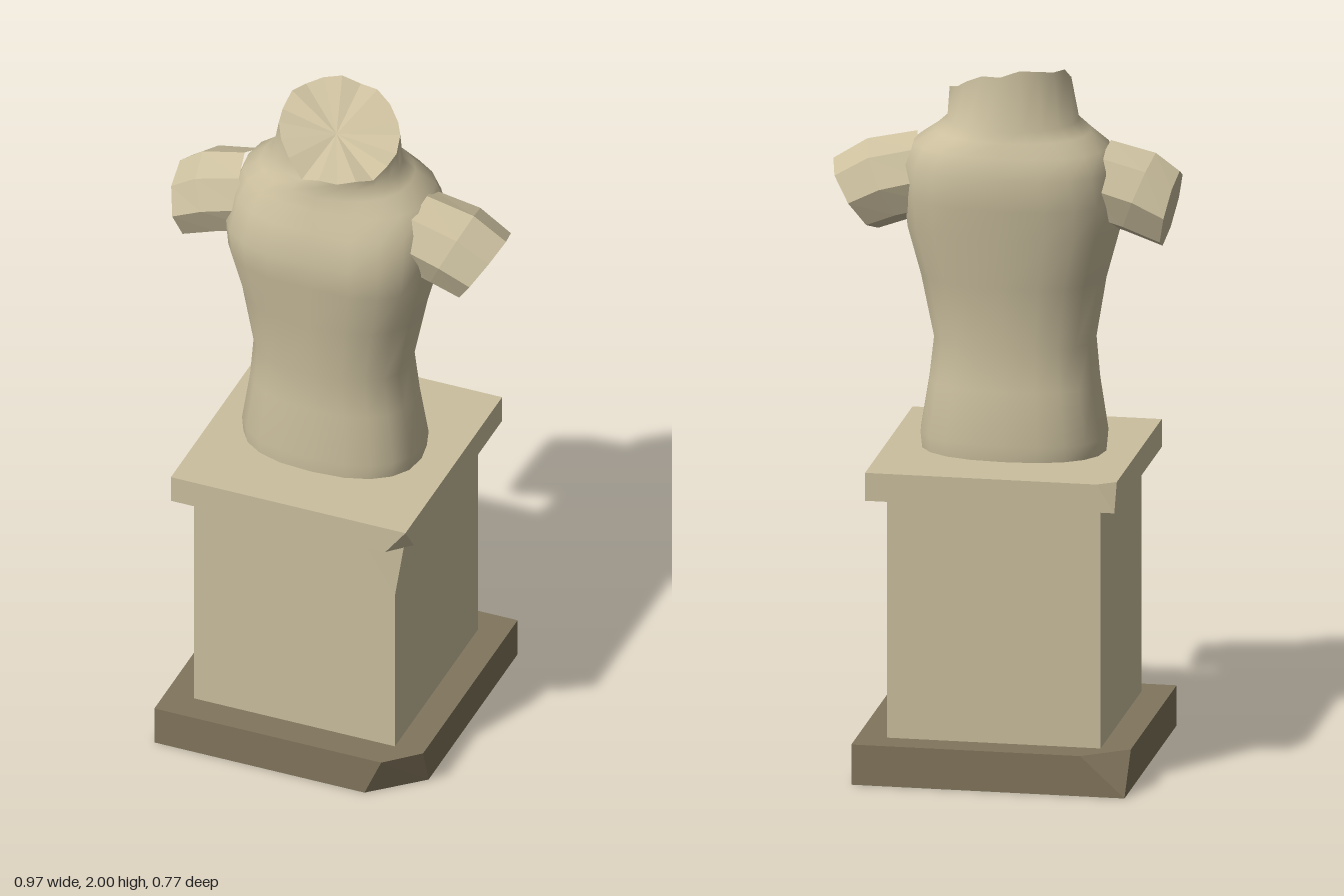
import * as THREE from 'three';
import { toCreasedNormals } from 'three/addons/utils/BufferGeometryUtils.js';
import { ConvexGeometry } from 'three/addons/geometries/ConvexGeometry.js';

const V = (x, y, z) => new THREE.Vector3(x, y, z);

// Skin a list of equal-length rings; optionally close the last one to a centre point
function loft(rings, endCentre) {
  const n = rings[0].length, pts = rings.flat(), index = [];
  for (let r = 0; r < rings.length - 1; r++)
    for (let i = 0; i < n; i++) {
      const a = r * n + i, b = r * n + (i + 1) % n;
      index.push(a, a + n, b, b, a + n, b + n);
    }
  if (endCentre) {
    const base = (rings.length - 1) * n;
    pts.push(endCentre);
    for (let i = 0; i < n; i++) index.push(pts.length - 1, base + (i + 1) % n, base + i);
  }
  const geo = new THREE.BufferGeometry().setFromPoints(pts);
  geo.setIndex(index);
  geo.computeVertexNormals();
  return geo;
}

function flat(geo) {
  const g = geo.toNonIndexed();
  g.computeVertexNormals();
  return g;
}

// Block given by its bounds, with chosen corners replaced by chip points
function chippedBlock(x0, x1, y0, y1, z0, z1, chips) {
  const pts = [];
  for (const x of [x0, x1]) for (const y of [y0, y1]) for (const z of [z0, z1]) {
    const key = (x === x1 ? 'R' : 'L') + (y === y1 ? 'T' : 'B') + (z === z1 ? 'F' : 'K');
    if (!chips[key]) pts.push(V(x, y, z));
    else {
      const [cx, cz, drop] = chips[key];
      pts.push(V(x - Math.sign(x) * cx, y, z), V(x, y, z - Math.sign(z) * cz));
      if (drop) pts.push(V(x, y - drop, z));
    }
  }
  return new ConvexGeometry(pts);
}

// Remove faces lying on the ground so the foot is hollow underneath
function openBottom(geo) {
  const p = geo.attributes.position, keep = [];
  for (let i = 0; i < p.count; i += 3) {
    if (Math.max(p.getY(i), p.getY(i + 1), p.getY(i + 2)) < 1e-4) continue;
    for (let k = 0; k < 3; k++) keep.push(V().fromBufferAttribute(p, i + k));
  }
  const g = new THREE.BufferGeometry().setFromPoints(keep);
  g.computeVertexNormals();
  return g;
}

export function createModel() {
  const group = new THREE.Group();
  const stone = new THREE.MeshStandardMaterial({ color: 0xcbbf9e });
  stone.name = 'pale stone';
  const dark = new THREE.MeshStandardMaterial({ color: 0x81755c, side: THREE.DoubleSide });
  dark.name = 'dark stone';
  const add = (name, geo, mat) => {
    const m = new THREE.Mesh(geo, mat);
    m.name = name;
    group.add(m);
  };

  // Pedestal
  add('pedestalFoot', openBottom(chippedBlock(-0.405, 0.362, 0, 0.115, -0.385, 0.385, {
    RTF: [0.09, 0.085], RBF: [0.14, 0.125], LTK: [0.125, 0.095],
  })), dark);
  add('pedestalShaft', chippedBlock(-0.322, 0.278, 0.116, 0.805, -0.3, 0.3, {
    RTF: [0.108, 0.095, 0.178],
  }), stone);
  add('pedestalCap', chippedBlock(-0.37, 0.33, 0.805, 0.885, -0.35, 0.35, {
    RBF: [0.06, 0.06], LTK: [0.05, 0.037],
  }), stone);

  // Torso sections: y, right x, left x, back z, front z, squareness, chest dent
  const SEG = 20;
  const sections = [
    [0.88, -0.28, 0.235, -0.17, 0.178, 0.85, 0],
    [0.93, -0.285, 0.24, -0.175, 0.18, 0.85, 0],
    [1.08, -0.262, 0.216, -0.155, 0.163, 0.85, 0],
    [1.2, -0.25, 0.203, -0.145, 0.163, 0.85, 0],
    [1.38, -0.28, 0.238, -0.172, 0.188, 0.82, 0.02],
    [1.52, -0.318, 0.275, -0.193, 0.208, 0.78, 0.04],
    [1.61, -0.325, 0.283, -0.205, 0.22, 0.78, 0.05],
    [1.7, -0.312, 0.278, -0.217, 0.192, 0.8, 0.03],
    [1.76, -0.29, 0.255, -0.2, 0.167, 0.85, 0],
    [1.8, -0.24, 0.197, -0.184, 0.156, 0.92, 0],
    [1.83, -0.205, 0.163, -0.173, 0.153, 1, 0],
  ];
  const pow = (v, e) => Math.sign(v) * Math.pow(Math.abs(v), e);
  const around = (f) => Array.from({ length: SEG }, (_, i) => f(i / SEG * Math.PI * 2, i));
  const rings = sections.map(([y, x0, x1, z0, z1, e, dent]) => around((a, i) => {
    const c = pow(Math.cos(a), e), s = pow(Math.sin(a), e);
    const cx = (x0 + x1) / 2, cz = (z0 + z1) / 2;
    return V(cx + c * (x1 - x0) / 2, y, cz + s * (z1 - z0) / 2 * (i === 5 ? 1 - dent : 1));
  }));

  // Broken neck rim, slanting down to the front, with a notch
  const rim = around((a, i) => {
    const x = -0.012 + 0.17 * Math.cos(a), z = -0.003 + 0.154 * Math.sin(a);
    const y = 1.925 - 0.42 * z - 0.2 * (x + 0.02) + 0.008 * Math.sin(i * 2.4);
    return V(x, i === 6 ? 1.84 : Math.min(y, 2), z);
  });
  add('torso', toCreasedNormals(loft([...rings, rim]), 0.9), stone);

  // Broken face of the neck
  const fan = [];
  rim.forEach((p, i) => fan.push(V(-0.02, 1.912, 0), rim[(i + 1) % SEG], p));
  const neckGeo = new THREE.BufferGeometry().setFromPoints(fan);
  neckGeo.computeVertexNormals();
  add('neckBreak', neckGeo, stone);

  // Arm stumps: each ring is centre x, y, the offset to its top point and its half depth
  const arm = (name, side, list) => {
    const armRings = list.map(([x, y, ux, uy, r]) => Array.from({ length: 8 }, (_, i) => {
      const a = i / 8 * Math.PI * 2, c = Math.cos(a);
      return V(x + ux * c, y + uy * c, -side * r * Math.sin(a));
    }));
    const [x, y] = list[list.length - 1];
    add(name, flat(loft(armRings, V(x, y, 0))), stone);
  };
  arm('leftArmStump', 1, [
    [0.2, 1.665, 0.05, 0.11, 0.11],
    [0.335, 1.632, 0.055, 0.113, 0.122],
    [0.423, 1.587, 0.063, 0.097, 0.113],
  ]);
  arm('rightArmStump', -1, [
    [-0.244, 1.665, -0.05, 0.11, 0.11],
    [-0.375, 1.632, -0.045, 0.113, 0.122],
    [-0.463, 1.588, -0.024, 0.108, 0.115],
  ]);

  return group;
}
